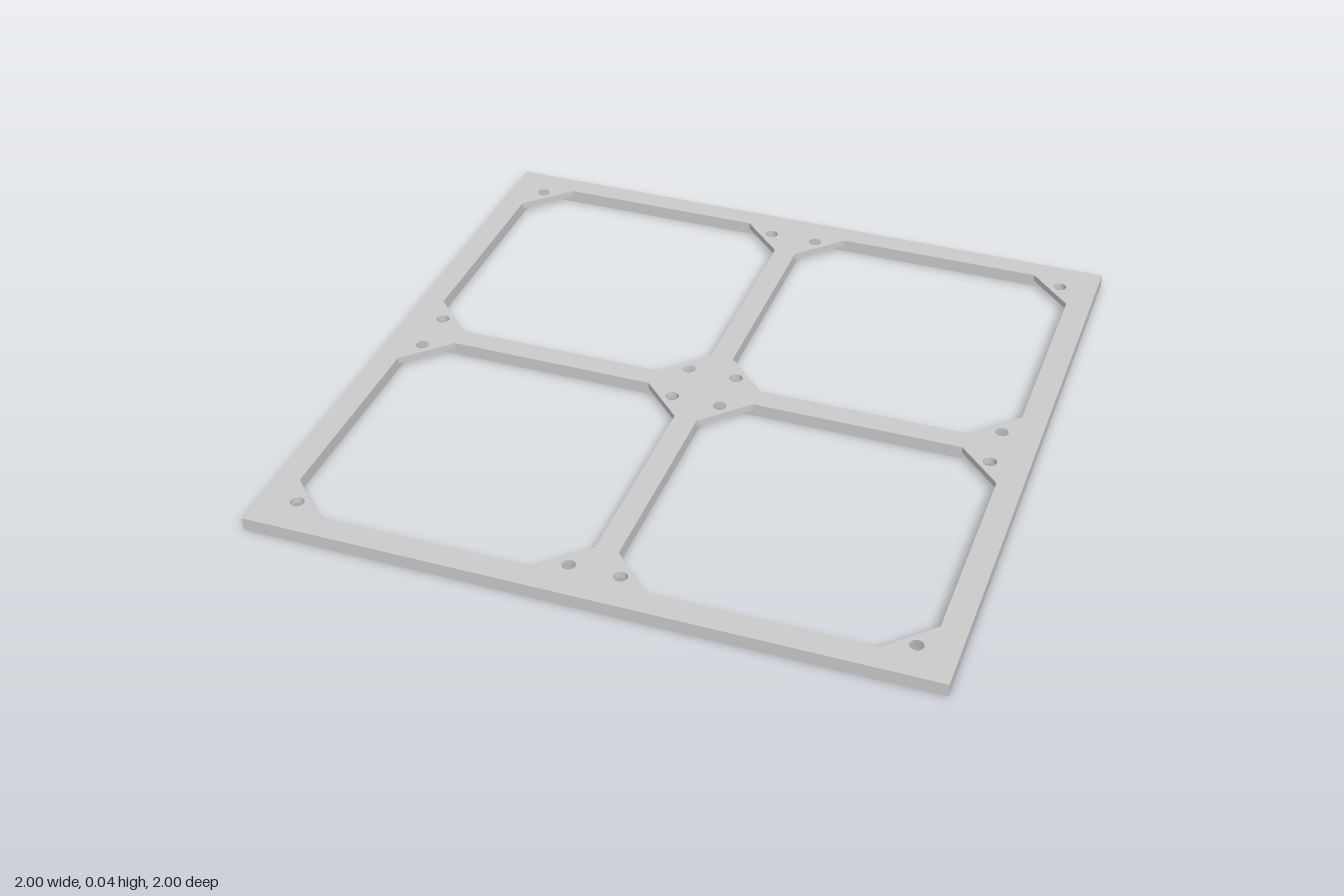
import * as THREE from 'three';

const HEIGHT = 0.04;        // frame depth
const PLATE = 0.02;         // gusset thickness, flush with the top
const HALF = 0.4465;        // half width of a square opening
const LEG = 0.13;           // gusset leg length
const HOLE_INSET = 0.04;    // bolt hole distance from the opening walls
const HOLE_RADIUS = 0.02;
const CENTRES = [-0.4835, 0.4785];

const material = new THREE.MeshStandardMaterial({ color: 0xcccccc });

// Extrude a plan outline (x, -z) upward from y = base.
function slab(shape, base, depth, name) {
  const geometry = new THREE.ExtrudeGeometry(shape, { depth, bevelEnabled: false, curveSegments: 24 });
  geometry.rotateX(-Math.PI / 2).translate(0, base, 0);
  const mesh = new THREE.Mesh(geometry, material);
  mesh.name = name;
  return mesh;
}

function outline(points, PathType = THREE.Shape) {
  return new PathType(points.map(([x, y]) => new THREE.Vector2(x, y)));
}

function square(x, y, h, PathType) {
  return outline([[x - h, y - h], [x + h, y - h], [x + h, y + h], [x - h, y + h]], PathType);
}

export function createModel() {
  const model = new THREE.Group();
  model.name = 'windowFrame';

  // Outer frame and cross bars in one piece
  const frame = square(0, 0, 1);
  for (const x of CENTRES)
    for (const z of CENTRES) frame.holes.push(square(x, -z, HALF, THREE.Path));
  model.add(slab(frame, 0, HEIGHT, 'frame'));

  // Drilled triangular gussets in the corners of each opening
  for (const x of CENTRES) {
    for (const z of CENTRES) {
      for (const sx of [-1, 1]) {
        for (const sy of [-1, 1]) {
          const cx = x + sx * HALF;
          const cy = -z + sy * HALF;
          const gusset = outline([[cx, cy], [cx - sx * LEG, cy], [cx, cy - sy * LEG]]);
          const hole = new THREE.Path();
          hole.absarc(cx - sx * HOLE_INSET, cy - sy * HOLE_INSET, HOLE_RADIUS, 0, Math.PI * 2, true);
          gusset.holes.push(hole);
          model.add(slab(gusset, HEIGHT - PLATE, PLATE, 'cornerGusset'));
        }
      }
    }
  }
  return model;
}
